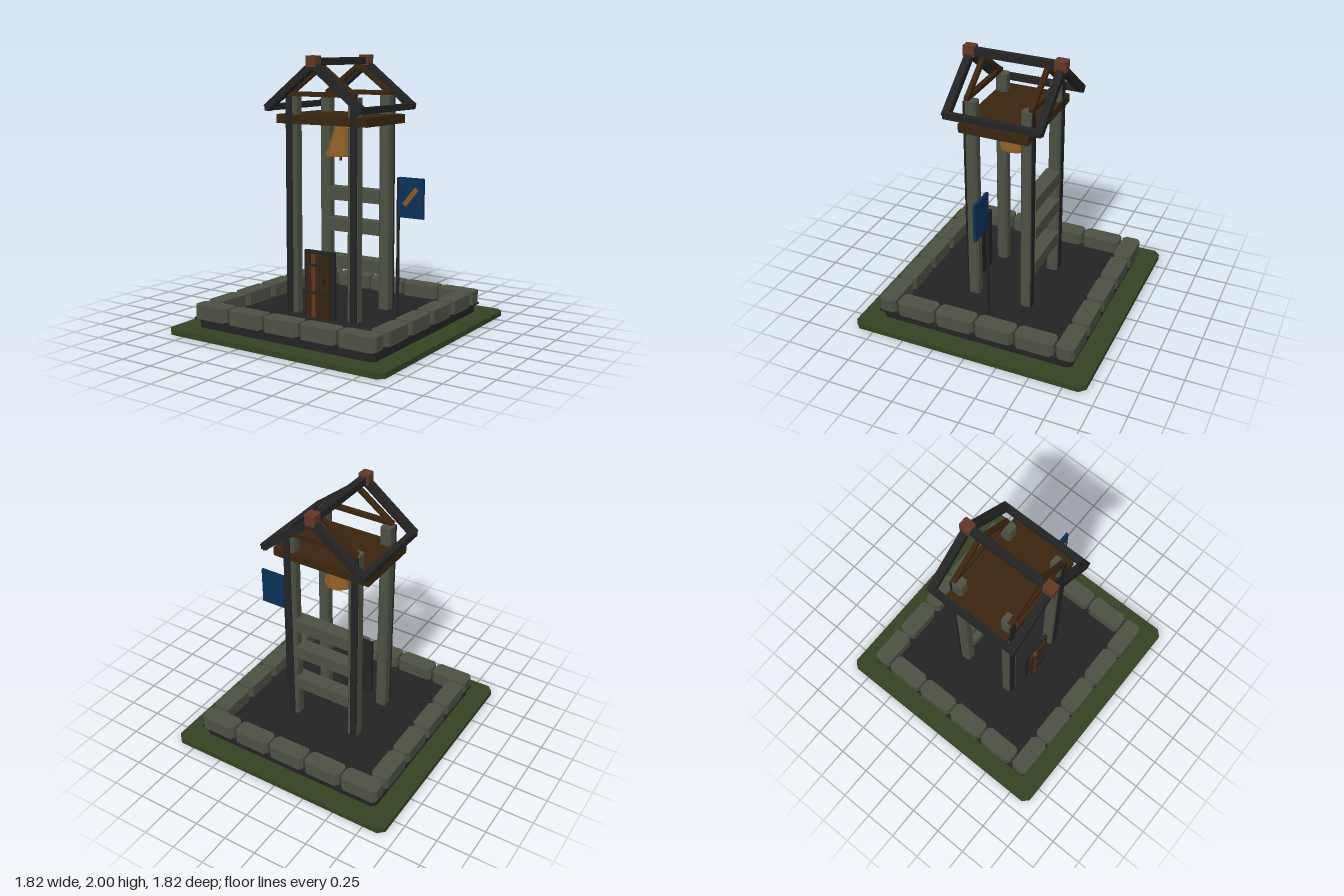
import * as THREE from 'three';

const mat = (name, color) => {
  const m = new THREE.MeshStandardMaterial({ color });
  m.name = name;
  return m;
};

export function createModel() {
  const root = new THREE.Group();
  root.name = 'bellTower';
  const stone = mat('mossy stone', 0x4c5042);
  const iron = mat('dark iron', 0x232324);
  const grass = mat('grass', 0x354222);
  const wood = mat('brown wood', 0x3a240f);
  const red = mat('red wood', 0x623626);
  const gold = mat('bronze', 0x8a5a24);
  const blue = mat('blue cloth', 0x0c3058);

  const add = (name, geo, material, x, y, z, parent = root) => {
    const m = new THREE.Mesh(geo, material);
    m.name = name;
    m.position.set(x, y, z);
    parent.add(m);
    return m;
  };
  // Box given by its limits on each axis
  const box = (name, material, [x0, x1], [y0, y1], [z0, z1], parent) =>
    add(name, new THREE.BoxGeometry(x1 - x0, y1 - y0, z1 - z0), material,
      (x0 + x1) / 2, (y0 + y1) / 2, (z0 + z1) / 2, parent);
  // Upright block whose four vertical edges are chamfered
  const block = (name, material, w, d, y0, y1, c, x, z, parent) => {
    const a = w / 2, b = d / 2;
    const s = new THREE.Shape([
      [a - c, -b], [a, -b + c], [a, b - c], [a - c, b],
      [-a + c, b], [-a, b - c], [-a, -b + c], [-a + c, -b],
    ].map(([u, v]) => new THREE.Vector2(u, v)));
    const g = new THREE.ExtrudeGeometry(s, { depth: y1 - y0, bevelEnabled: false });
    g.rotateX(-Math.PI / 2);
    return add(name, g, material, x, y0, z, parent);
  };

  // Ground and floor
  block('grassPlate', grass, 1.82, 1.82, 0, 0.04, 0.045, 0, 0);
  block('foundation', iron, 1.5, 1.5, 0.04, 0.1, 0.03, 0, 0);
  box('floor', iron, [-0.77, 0.77], [0.1, 0.112], [-0.765, 0.765]);

  // Stone kerb: five blocks front and back, four along each side
  const kerb = new THREE.Group();
  kerb.name = 'stoneKerb';
  root.add(kerb);
  for (const s of [-1, 1]) {
    for (let i = -2; i <= 2; i++) {
      block('kerbStone', stone, 0.295, 0.137, 0.106, 0.21, 0.025, i * 0.31, s * 0.703, kerb);
    }
    for (let i = -1.5; i <= 1.5; i++) {
      block('kerbStone', stone, 0.137, 0.297, 0.106, 0.21, 0.025, s * 0.703, i * 0.312, kerb);
    }
  }

  // Corner posts with iron strips on their outer faces
  for (const sx of [-1, 1]) {
    for (const sz of [-1, 1]) {
      block('post', stone, 0.084, 0.087, 0.11, 1.71, 0.014, sx * 0.261, sz * 0.213);
      add('postStrip', new THREE.BoxGeometry(0.055, 1.6, 0.009), iron,
        sx * 0.277, 0.91, sz * 0.258);
    }
  }

  // Rails joining the back posts
  for (const y of [0.43, 0.72, 0.958]) {
    box('backRail', stone, [-0.235, 0.235], [y - 0.049, y + 0.049], [-0.265, -0.153]);
  }

  // Bell deck
  box('bellDeck', wood, [-0.387, 0.387], [1.51, 1.575], [-0.262, 0.262]);

  // Sloping beam between two points in the xy plane
  const slope = (name, material, x0, y0, x1, y1, z, t, d) => {
    const m = add(name, new THREE.BoxGeometry(Math.hypot(x1 - x0, y1 - y0), t, d), material,
      (x0 + x1) / 2, (y0 + y1) / 2, z);
    m.rotation.z = Math.atan2(y1 - y0, x1 - x0);
  };

  // Open roof frame
  box('ridgeBeam', iron, [-0.027, 0.027], [1.93, 1.983], [-0.36, 0.36]);
  for (const s of [-1, 1]) {
    add('eaveBeam', new THREE.BoxGeometry(0.045, 0.045, 0.73), iron, s * 0.395, 1.628, 0);
    for (const sz of [-1, 1]) {
      slope('rafter', iron, s * 0.405, 1.622, 0, 1.937, sz * 0.345, 0.052, 0.055);
      slope('innerBrace', wood, s * 0.285, 1.715, 0, 1.925, sz * 0.242, 0.032, 0.034);
    }
    box('collarTie', wood, [-0.285, 0.285], [1.708, 1.742], [s * 0.242 - 0.017, s * 0.242 + 0.017]);
    block('ridgeCap', red, 0.08, 0.088, 1.922, 2, 0.008, 0, s * 0.344);
  }

  // Ten-sided bell with rim, hanger and clapper
  const bell = new THREE.Group();
  bell.name = 'bell';
  bell.rotation.y = Math.PI / 2;
  root.add(bell);
  const bronze = gold.clone();
  bronze.flatShading = true;
  const turned = (name, m, rt, rb, y0, y1, n) =>
    add(name, new THREE.CylinderGeometry(rt, rb, y1 - y0, n).toNonIndexed(), m, 0, (y0 + y1) / 2, 0, bell)
      .geometry.computeVertexNormals();
  turned('bellBody', gold, 0.045, 0.102, 1.295, 1.485, 10);
  turned('bellRim', gold, 0.112, 0.116, 1.273, 1.298, 10);
  turned('bellRod', iron, 0.011, 0.011, 1.235, 1.515, 6);

  // Door: frame slab, planks, straps and handle
  const door = new THREE.Group();
  door.name = 'door';
  root.add(door);
  box('doorFrame', iron, [-0.13, 0.13], [0.11, 0.605], [0.256, 0.28], door);
  for (let i = -2; i <= 2; i++) {
    const x = i * 0.039;
    box('doorPlank', i === -1 ? red : wood, [x - 0.017, x + 0.017], [0.11, 0.578], [0.278, 0.303], door);
  }
  for (const y of [0.302, 0.503]) {
    box('doorStrap', iron, [-0.105, 0.105], [y - 0.008, y + 0.008], [0.3, 0.313], door);
  }
  box('doorHandle', iron, [0.048, 0.07], [0.378, 0.415], [0.303, 0.33], door);

  // Flag on a pole with a diagonal bar
  const flag = new THREE.Group();
  flag.name = 'flag';
  root.add(flag);
  add('flagPole', new THREE.CylinderGeometry(0.012, 0.012, 1.035, 8), iron, 0.489, 0.628, 0, flag);
  box('flagCloth', blue, [0.497, 0.695], [0.863, 1.15], [-0.01, 0.01], flag);
  add('flagBar', new THREE.BoxGeometry(0.15, 0.034, 0.016), gold, 0.597, 1.015, 0.018, flag)
    .rotation.z = 0.88;

  return root;
}
